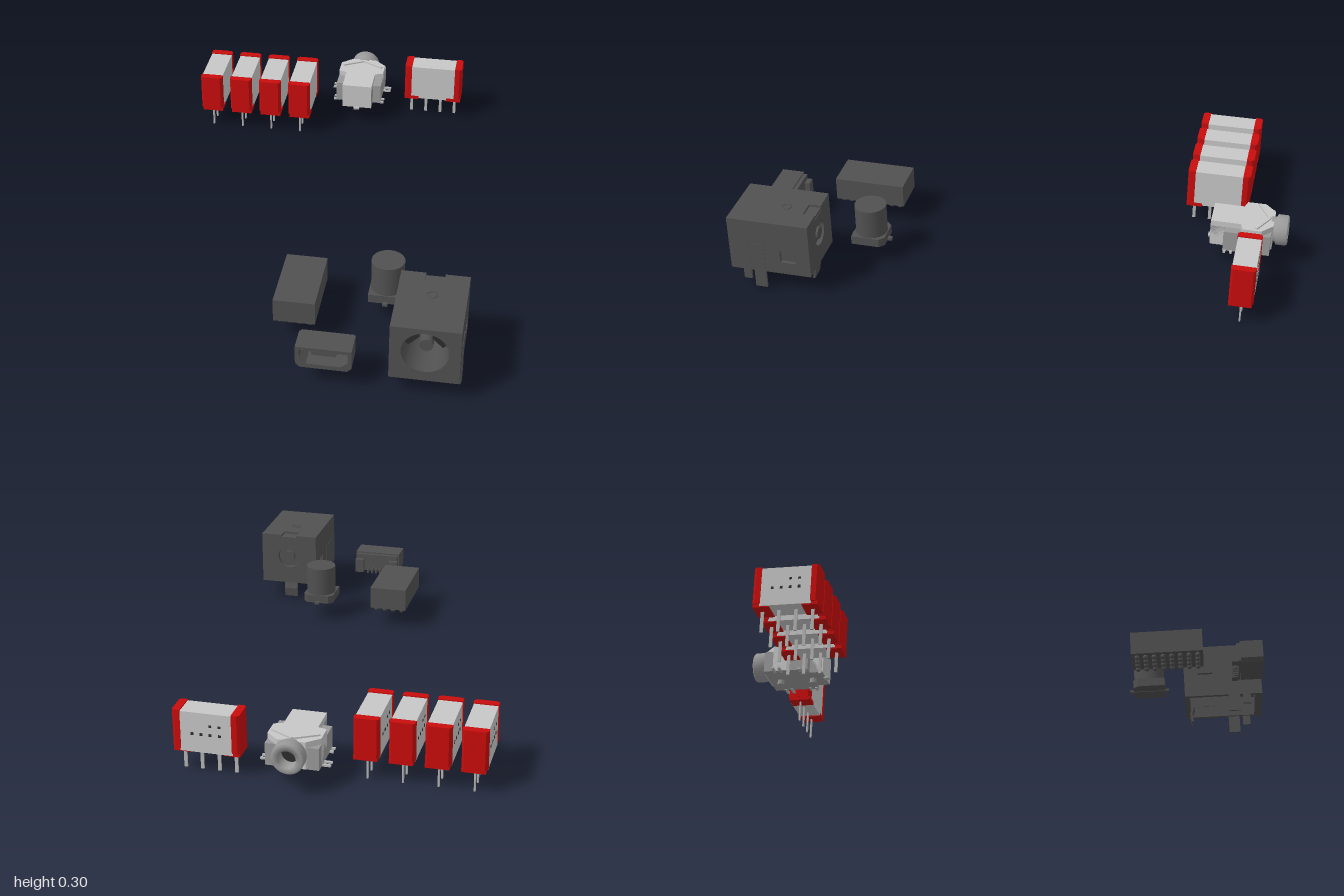
import * as THREE from 'three';

const mat = (name, color) => {
  const m = new THREE.MeshStandardMaterial({ color, side: THREE.DoubleSide });
  m.name = name;
  return m;
};

export function createModel() {
  const root = new THREE.Group();
  const red = mat('red', 0xc80c0c), light = mat('light grey', 0xc6c6c6);
  const mid = mat('mid grey', 0x999999), dark = mat('dark grey', 0x505050);
  const pinGrey = mat('pin grey', 0xb4b4b4), black = mat('charcoal', 0x2c2c2c);

  const add = (parent, name, geo, m, x = 0, y = 0, z = 0) => {
    const mesh = new THREE.Mesh(geo, m);
    mesh.name = name;
    mesh.position.set(x, y, z);
    parent.add(mesh);
    return mesh;
  };
  const group = (name, x = 0, z = 0) => {
    const g = new THREE.Group();
    g.name = name;
    g.position.set(x, 0, z);
    root.add(g);
    return g;
  };
  // box given by its limits on each axis
  const box = (p, name, m, x0, x1, y0, y1, z0, z1) => add(p, name,
    new THREE.BoxGeometry(x1 - x0, y1 - y0, z1 - z0), m, (x0 + x1) / 2, (y0 + y1) / 2, (z0 + z1) / 2);
  const rod = (p, name, m, r, len, x, y, z, axis = 'y', seg = 24) => {
    const g = new THREE.CylinderGeometry(r, r, len, seg);
    if (axis === 'z') g.rotateX(Math.PI / 2);
    return add(p, name, g, m, x, y, z);
  };
  const polygon = pts => new THREE.Shape(pts.map(p => new THREE.Vector2(p[0], p[1])));
  // footprint of [x, z] points raised from y0 to y1
  const slab = (p, name, m, pts, y0, y1) => {
    const g = new THREE.ExtrudeGeometry(polygon(pts.map(([x, z]) => [x, -z])),
      { depth: y1 - y0, bevelEnabled: false });
    g.rotateX(-Math.PI / 2);
    return add(p, name, g, m, 0, y0, 0);
  };
  const rect = (x0, x1, y0, y1) => [[x0, y0], [x1, y0], [x1, y1], [x0, y1]];
  const mirrorX = half => [...half, ...half.map(([x, z]) => [-x, z]).reverse()];
  // front-facing extrusion from z0 to z1
  const panel = (p, name, m, shape, z0, z1) => add(p, name,
    new THREE.ExtrudeGeometry(shape, { depth: z1 - z0, bevelEnabled: false, curveSegments: 24 }), m, 0, 0, z0);

  // relays: grey body, red end caps, four pins in a line
  const relay = (x, z, turn) => {
    const g = group('relay', x, z);
    g.rotation.y = turn;
    box(g, 'relayBody', light, -0.043, 0.043, 0.085, 0.236, -0.095, 0.095);
    for (const s of [-1, 1]) {
      slab(g, 'endCap', red, [[-0.045, s * 0.092], [0.045, s * 0.092], [0.045, s * 0.112],
        [0.037, s * 0.121], [-0.037, s * 0.121], [-0.045, s * 0.112]], 0.094, 0.24);
      box(g, 'capFoot', red, -0.04, 0.045, 0.081, 0.095, s > 0 ? 0.06 : -0.12, s > 0 ? 0.12 : -0.06);
    }
    for (const pz of [-0.093, -0.032, 0.031, 0.093])
      box(g, 'relayPin', pinGrey, -0.003, 0.003, 0, 0.09, pz - 0.006, pz + 0.006);
    // printed dots on one side
    for (let i = 0; i < 4; i++) {
      const dz = -0.05 + i * 0.033;
      box(g, 'printedDot', black, -0.0445, -0.043, 0.15, 0.16, dz - 0.005, dz + 0.005);
      if (i > 1) box(g, 'printedDot', black, -0.0445, -0.043, 0.185, 0.193, dz - 0.005, dz + 0.005);
    }
  };
  for (let i = 0; i < 4; i++) relay(-0.585 + i * 0.125, -0.71, 0);
  relay(0.333, -0.872, -Math.PI / 2);

  // audio socket
  const a = group('audioSocket', 0.02, 0);
  slab(a, 'socketBase', mid, mirrorX([[0.095, -0.94], [0.095, -0.765], [0.062, -0.765], [0.062, -0.715]]), 0.082, 0.165);
  slab(a, 'socketCover', light, mirrorX([[0.05, -0.945], [0.095, -0.905], [0.095, -0.835],
    [0.062, -0.825], [0.062, -0.712]]), 0.084, 0.187);
  for (const s of [-1, 1]) {
    const rib = add(a, 'coverRib', new THREE.BoxGeometry(0.095, 0.008, 0.012), light, s * 0.042, 0.189, -0.905);
    rib.rotation.y = -s * 0.5;
    for (const [z, reach] of [[-0.885, 0.125], [-0.785, 0.108]])
      for (const o of [-0.012, 0.012])
        box(a, 'solderTab', pinGrey, s > 0 ? 0.08 : -reach, s > 0 ? reach : -0.08, 0.079, 0.086, z + o - 0.005, z + o + 0.005);
    rod(a, 'locatingPeg', mid, 0.013, 0.02, 0, 0.074, -0.83 + s * 0.065);
  }
  box(a, 'rearTab', pinGrey, -0.012, 0.012, 0.079, 0.086, -0.72, -0.7);
  const barrel = new THREE.LatheGeometry([[0.032, -0.04], [0.032, 0.055], [0.052, 0.055], [0.058, 0.049],
    [0.058, 0.012], [0.048, 0.008], [0.048, -0.01]].map(p => new THREE.Vector2(...p)), 28);
  barrel.rotateX(-Math.PI / 2);
  add(a, 'socketBarrel', barrel, mid, 0, 0.143, -0.945);
  rod(a, 'socketBore', black, 0.032, 0.004, 0, 0.143, -0.95, 'z');

  // chip module on a grid of solder balls
  const chip = group('chipModule', 0.02, 0.628);
  box(chip, 'chipBody', dark, -0.075, 0.075, 0.08, 0.17, -0.137, 0.137);
  const ball = new THREE.SphereGeometry(0.01, 10, 8);
  for (let i = 0; i < 4; i++) for (let j = 0; j < 8; j++)
    add(chip, 'solderBall', ball, dark, -0.054 + i * 0.036, 0.072, -0.115 + j * 0.033);

  // round capped component on a square foot
  const can = group('roundComponent', 0.323, 0.546);
  slab(can, 'squareFoot', dark, mirrorX([[0.045, -0.063], [0.063, -0.045], [0.063, 0.063]]), 0.082, 0.115);
  rod(can, 'roundCan', dark, 0.06, 0.125, 0, 0.1675, 0, 'y', 32);
  box(can, 'footTab', dark, -0.009, 0.009, 0.08, 0.09, -0.078, 0.078);

  // small data port: shell with a chamfered mouth and a tongue
  const port = group('dataPort', 0.163, 0);
  const shell = polygon([[-0.082, 0.08], [0.082, 0.08], [0.097, 0.095], [0.097, 0.166], [-0.097, 0.166], [-0.097, 0.095]]);
  shell.holes.push(polygon([[-0.06, 0.097], [-0.083, 0.117], [-0.083, 0.153], [0.083, 0.153], [0.083, 0.117], [0.06, 0.097]]));
  panel(port, 'portShell', dark, shell, 0.908, 0.995);
  box(port, 'portBack', dark, -0.092, 0.092, 0.086, 0.16, 0.893, 0.912);
  box(port, 'portTongue', dark, -0.042, 0.042, 0.13, 0.144, 0.91, 0.985);
  for (let i = 0; i < 5; i++)
    box(port, 'portPin', dark, -0.038 + i * 0.018, -0.032 + i * 0.018, 0.08, 0.1, 0.875, 0.9);
  for (const s of [-1, 1])
    box(port, 'portLug', dark, s * 0.075 - 0.018, s * 0.075 + 0.018, 0.082, 0.14, 0.873, 0.9);

  // power socket: open-bottomed housing around a round bore
  const p = group('powerSocket', 0.505, 0);
  const cy = 0.199;
  const face = polygon(rect(-0.12, 0.12, 0.08, 0.297));
  face.holes.push(new THREE.Path().absarc(0, cy, 0.081, 0, Math.PI * 2, true));
  panel(p, 'frontFace', dark, face, 0.965, 0.995);
  slab(p, 'topWall', dark, mirrorX([[0.033, 0.73], [0.033, 0.685], [0.12, 0.685], [0.12, 0.967]]), 0.277, 0.297);
  box(p, 'topNotch', dark, -0.034, 0.034, 0.272, 0.288, 0.687, 0.732);
  add(p, 'topMark', new THREE.TorusGeometry(0.017, 0.003, 6, 24).rotateX(Math.PI / 2), dark, 0, 0.297, 0.805);
  const backFace = polygon(rect(-0.12, 0.12, 0.08, 0.277));
  backFace.holes.push(new THREE.Path().absarc(0, cy, 0.048, 0, Math.PI * 2, true));
  panel(p, 'backFace', dark, backFace, 0.685, 0.705);
  rod(p, 'backRecess', dark, 0.05, 0.006, 0, cy, 0.705, 'z');
  rod(p, 'backRivet', dark, 0.024, 0.02, 0, cy, 0.695, 'z');
  const bore = new THREE.CylinderGeometry(0.081, 0.066, 0.17, 36, 1, true).rotateX(Math.PI / 2);
  add(p, 'bore', bore, dark, 0, cy, 0.905);
  rod(p, 'boreFloor', dark, 0.067, 0.006, 0, cy, 0.82, 'z');
  rod(p, 'centrePin', dark, 0.024, 0.14, 0, cy, 0.885, 'z');
  for (const s of [-1, 1]) {
    const wall = polygon(rect(-0.967, -0.7, 0.08, 0.28));
    wall.holes.push(polygon(rect(-0.8, -0.74, 0.13, 0.18)));
    const side = new THREE.ExtrudeGeometry(wall, { depth: 0.015, bevelEnabled: false }).rotateY(Math.PI / 2);
    add(p, 'sideWall', side, dark, s > 0 ? 0.105 : -0.12);
    box(p, 'sidePocket', dark, s * 0.104 - 0.002, s * 0.104 + 0.002, 0.125, 0.185, 0.735, 0.805);
    box(p, 'sideLeg', dark, s * 0.118 - 0.004, s * 0.118 + 0.004, 0.01, 0.2, 0.86, 0.905);
    box(p, 'sideRib', dark, s * 0.116 - 0.005, s * 0.116 + 0.005, 0.04, 0.2, 0.918, 0.948);
    const clip = box(p, 'contactClip', black, -0.026, 0.026, -0.009, 0.009, 0.95, 0.97);
    clip.position.set(s * 0.046, cy + 0.046, 0.975);
    clip.rotation.z = -s * Math.PI / 4;
  }
  // curved rear leg
  const outline = [[-0.72, 0.11], [-0.722, 0.075], [-0.711, 0.045], [-0.716, 0.008],
    [-0.708, 0.008], [-0.702, 0.045], [-0.712, 0.078], [-0.71, 0.11]];
  const leg = new THREE.ExtrudeGeometry(polygon(outline), { depth: 0.056, bevelEnabled: false }).rotateY(Math.PI / 2);
  add(p, 'rearLeg', leg, dark, -0.028);

  return root;
}
